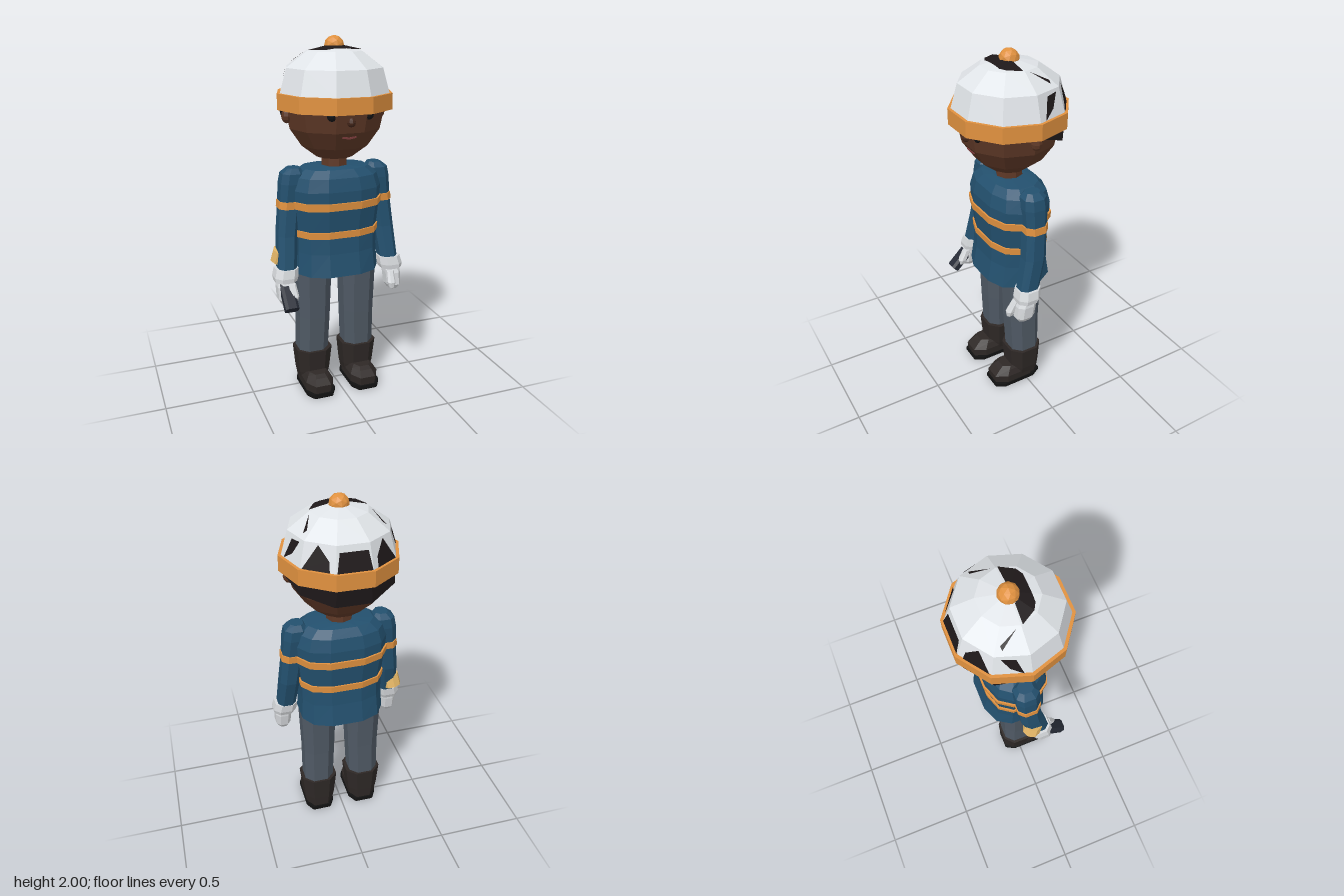
import * as THREE from 'three';

const COLORS = {
  skin: 0x5e3826, hair: 0x1e1819, cap: 0xe0e4e8, orange: 0xe0913f, jacket: 0x23506e, trousers: 0x4f5964,
  boot: 0x2e2826, sole: 0x121212, glove: 0xd6d9dc, black: 0x141416, nose: 0x48291c, mouth: 0x7a3b3b,
  gold: 0xe6b868, baton: 0x262b36,
};
const materials = {};
for (const [name, color] of Object.entries(COLORS)) {
  materials[name] = new THREE.MeshStandardMaterial({ color, flatShading: true });
}

function add(parent, name, geometry, mat, x = 0, y = 0, z = 0) {
  const mesh = new THREE.Mesh(geometry, materials[mat]);
  mesh.name = name;
  mesh.position.set(x, y, z);
  parent.add(mesh);
  return mesh;
}

// Closed solid through horizontal rings [y, rx, rz, cx, cz], listed bottom to top.
// A power below 1 squares off the section.
function loft(rings, n = 8, power = 0.8) {
  const pos = [], index = [];
  const k = Math.cos(Math.PI / n) ** power;
  const round = (v) => Math.sign(v) * Math.abs(v) ** power / k;
  for (const [y, rx, rz, cx = 0, cz = 0] of rings) {
    for (let i = 0; i < n; i++) {
      const a = (i + 0.5) / n * Math.PI * 2;
      pos.push(cx + rx * round(Math.cos(a)), y, cz + rz * round(Math.sin(a)));
    }
  }
  const last = (rings.length - 1) * n, bottom = pos.length / 3, top = bottom + 1;
  for (const [y, , , cx = 0, cz = 0] of [rings[0], rings[rings.length - 1]]) pos.push(cx, y, cz);
  for (let i = 0; i < n; i++) {
    const j = (i + 1) % n;
    for (let r = 0; r < last; r += n) {
      index.push(r + i, r + n + i, r + j, r + j, r + n + i, r + n + j);
    }
    index.push(bottom, i, j, top, last + j, last + i);
  }
  const g = new THREE.BufferGeometry();
  g.setAttribute('position', new THREE.Float32BufferAttribute(pos, 3));
  g.setIndex(index);
  const flat = g.toNonIndexed();
  flat.computeVertexNormals();
  return flat;
}

// Ten-sided lathe with corners on the x axis
const lathe = (points) =>
  new THREE.LatheGeometry(points.map(([r, y]) => new THREE.Vector2(r, y)), 10, Math.PI / 2);

const CAP = [[0.302, 1.69], [0.3, 1.71], [0.263, 1.84], [0.15, 1.922], [0, 1.955]];

// Point on the faceted cap: azimuth in degrees from the back, and corner radius
function capPoint([deg, r]) {
  let y = CAP[0][1];
  for (let i = 0; i < CAP.length - 1; i++) {
    const [r0, y0] = CAP[i], [r1, y1] = CAP[i + 1];
    if (r <= r0 && r >= r1) y = y0 + (y1 - y0) * (r0 - r) / (r0 - r1);
  }
  const off = deg - Math.round(deg / 36) * 36, rad = Math.PI / 180;
  const d = (r + 0.004) * Math.cos(18 * rad) / Math.cos(off * rad);
  return [d * Math.sin(deg * rad), y + 0.004, -d * Math.cos(deg * rad)];
}

// Patches of hair showing through the cap, one convex piece per facet
function hairPatches() {
  const side = [
    [[52, 0.3], [24, 0.3], [25, 0.285], [38, 0.266]],
    [[61, 0.268], [76, 0.27], [83, 0.3], [70, 0.288]],
    [[59, 0.222], [62, 0.24], [81, 0.16]],
    [[93, 0.149], [126, 0.13], [126, 0.04], [100, 0.055]],
    [[126, 0.13], [143, 0.125], [162, 0.1], [162, 0.04], [126, 0.04]],
  ];
  const all = [
    ...side, ...side.map((p) => p.map(([a, r]) => [-a, r])),
    [[-17, 0.3], [17, 0.3], [15, 0.273], [-15, 0.273]],
    [[162, 0.1], [198, 0.1], [198, 0.04], [162, 0.04]],
  ];
  const pos = [];
  for (const patch of all) {
    const p = patch.map(capPoint);
    for (let i = 1; i < p.length - 1; i++) pos.push(...p[0], ...p[i], ...p[i + 1]);
  }
  const g = new THREE.BufferGeometry();
  g.setAttribute('position', new THREE.Float32BufferAttribute(pos, 3));
  g.computeVertexNormals();
  return g;
}

function buildHead() {
  const head = new THREE.Group();
  head.name = 'head';
  add(head, 'skull', lathe([[0, 1.355], [0.1, 1.365], [0.185, 1.43], [0.25, 1.525], [0.27, 1.62], [0.25, 1.72], [0, 1.8]]), 'skin');
  add(head, 'neck', new THREE.CylinderGeometry(0.07, 0.075, 0.12, 8), 'skin', 0, 1.34, 0);
  const ball = new THREE.SphereGeometry(1, 8, 6);
  for (const s of [-1, 1]) {
    add(head, 'ear', ball, 'skin', s * 0.265, 1.595, 0).scale.set(0.03, 0.04, 0.03);
    add(head, 'eye', ball, 'black', s * 0.1, 1.618, 0.24).scale.set(0.028, 0.028, 0.018);
    const lip = add(head, 'mouth', new THREE.BoxGeometry(0.04, 0.01, 0.012), 'mouth', s * 0.018, 1.5, 0.222);
    lip.rotation.z = s * 0.15;
  }
  add(head, 'nose', ball, 'nose', 0, 1.583, 0.25).scale.setScalar(0.025);

  // Hair dome, tipped down at the back
  const R = 0.305, dome = [[0, 0]];
  for (const e of [0, 30, 60, 90]) dome.push([R * Math.cos(e * Math.PI / 180), R * Math.sin(e * Math.PI / 180)]);
  add(head, 'hair', lathe(dome), 'hair', 0, 1.63, 0).rotation.x = -0.37;

  // Knitted cap with band and pompom
  add(head, 'cap', lathe(CAP), 'cap');
  add(head, 'capBand', lathe([[0.29, 1.627], [0.316, 1.627], [0.316, 1.712], [0.29, 1.712], [0.29, 1.627]]), 'orange');
  add(head, 'pompom', new THREE.IcosahedronGeometry(0.053, 1), 'orange', 0, 1.947, 0);
  add(head, 'hairPatches', hairPatches(), 'hair').material = new THREE.MeshStandardMaterial(
    { color: COLORS.hair, flatShading: true, side: THREE.DoubleSide });
  return head;
}

function buildTorso() {
  const torso = new THREE.Group();
  torso.name = 'torso';
  add(torso, 'jacket', loft([
    [0.725, 0.235, 0.188], [0.85, 0.228, 0.165], [0.96, 0.228, 0.157], [1.12, 0.245, 0.172],
    [1.2, 0.25, 0.172], [1.27, 0.23, 0.155], [1.31, 0.18, 0.12], [1.318, 0.08, 0.08],
  ], 12, 0.75), 'jacket');
  add(torso, 'chestStripe', loft([[1.1, 0.252, 0.18], [1.14, 0.255, 0.182]], 12, 0.75), 'orange');
  add(torso, 'waistStripe', loft([[0.94, 0.236, 0.166], [0.977, 0.238, 0.167]], 12, 0.75), 'orange');
  add(torso, 'pelvis', loft([[0.68, 0.19, 0.1, 0, -0.015], [0.76, 0.2, 0.12, 0, -0.01]]), 'trousers');
  return torso;
}

// Limbs are built on the +x side; s = -1 mirrors them
const flip = (s, rings) => rings.map(([y, rx, rz, cx, cz]) => [y, rx, rz, s * cx, cz]);

function buildArm(s) {
  const arm = new THREE.Group();
  arm.name = s > 0 ? 'leftArm' : 'rightArm';
  add(arm, 'sleeve', loft(flip(s, [
    [0.75, 0.05, 0.058, 0.303, 0.065], [0.95, 0.055, 0.063, 0.285, 0.018], [1.12, 0.058, 0.06, 0.264, 0.003],
    [1.235, 0.064, 0.068, 0.25, 0], [1.29, 0.06, 0.064, 0.243, 0], [1.318, 0.034, 0.04, 0.235, 0],
  ])), 'jacket');
  add(arm, 'sleeveStripe', loft(flip(s, [[1.1, 0.063, 0.066, 0.266, 0.004], [1.14, 0.063, 0.067, 0.262, 0.003]])), 'orange');
  add(arm, 'gloveCuff', loft(flip(s, [[0.705, 0.06, 0.062, 0.315, 0.075], [0.73, 0.066, 0.068, 0.312, 0.07], [0.775, 0.062, 0.064, 0.304, 0.062]])), 'glove');
  add(arm, 'hand', loft(flip(s, [
    [0.583, 0.026, 0.036, 0.322, 0.095], [0.61, 0.042, 0.055, 0.322, 0.095], [0.68, 0.046, 0.056, 0.32, 0.085], [0.72, 0.04, 0.045, 0.315, 0.075],
  ])), 'glove');
  add(arm, 'thumb', loft(flip(s, [[0.61, 0.014, 0.016, 0.288, 0.165], [0.64, 0.023, 0.024, 0.288, 0.16], [0.7, 0.02, 0.024, 0.292, 0.125]])), 'glove');
  return arm;
}

function buildLeg(s) {
  const leg = new THREE.Group();
  leg.name = s > 0 ? 'leftLeg' : 'rightLeg';
  add(leg, 'trouserLeg', loft(flip(s, [
    [0.2, 0.085, 0.085, 0.14, -0.005], [0.45, 0.09, 0.092, 0.134, 0], [0.74, 0.1, 0.1, 0.134, 0],
  ])), 'trousers');
  add(leg, 'bootShaft', loft(flip(s, [[0.04, 0.078, 0.085, 0.137, -0.008], [0.1, 0.09, 0.092, 0.137, -0.005], [0.24, 0.104, 0.1, 0.137, -0.002]])), 'boot');
  add(leg, 'bootToe', loft(flip(s, [
    [0.025, 0.08, 0.14, 0.137, 0.055], [0.075, 0.082, 0.145, 0.137, 0.055], [0.105, 0.065, 0.11, 0.137, 0.055], [0.12, 0.05, 0.09, 0.137, 0.05],
  ]), 8, 0.7), 'boot');
  add(leg, 'sole', loft(flip(s, [[0, 0.08, 0.145, 0.137, 0.055], [0.008, 0.086, 0.15, 0.137, 0.055], [0.028, 0.086, 0.15, 0.137, 0.055]]), 8, 0.5), 'sole');
  return leg;
}

export function createModel() {
  const model = new THREE.Group();
  model.name = 'figure';
  model.add(buildHead(), buildTorso());
  for (const s of [-1, 1]) model.add(buildArm(s), buildLeg(s));

  // Wrist piece and hand-held stick on the right arm
  const band = add(model, 'wristBand', new THREE.CylinderGeometry(0.052, 0.052, 0.07, 8), 'gold', -0.321, 0.83, 0.02);
  band.rotation.set(0.25, 0, -0.2);
  const stick = add(model, 'stick', loft([[-0.1, 0.038, 0.028], [0.1, 0.038, 0.028]], 8, 0.6), 'baton', -0.318, 0.65, 0.138);
  stick.rotation.x = -0.8;
  return model;
}
